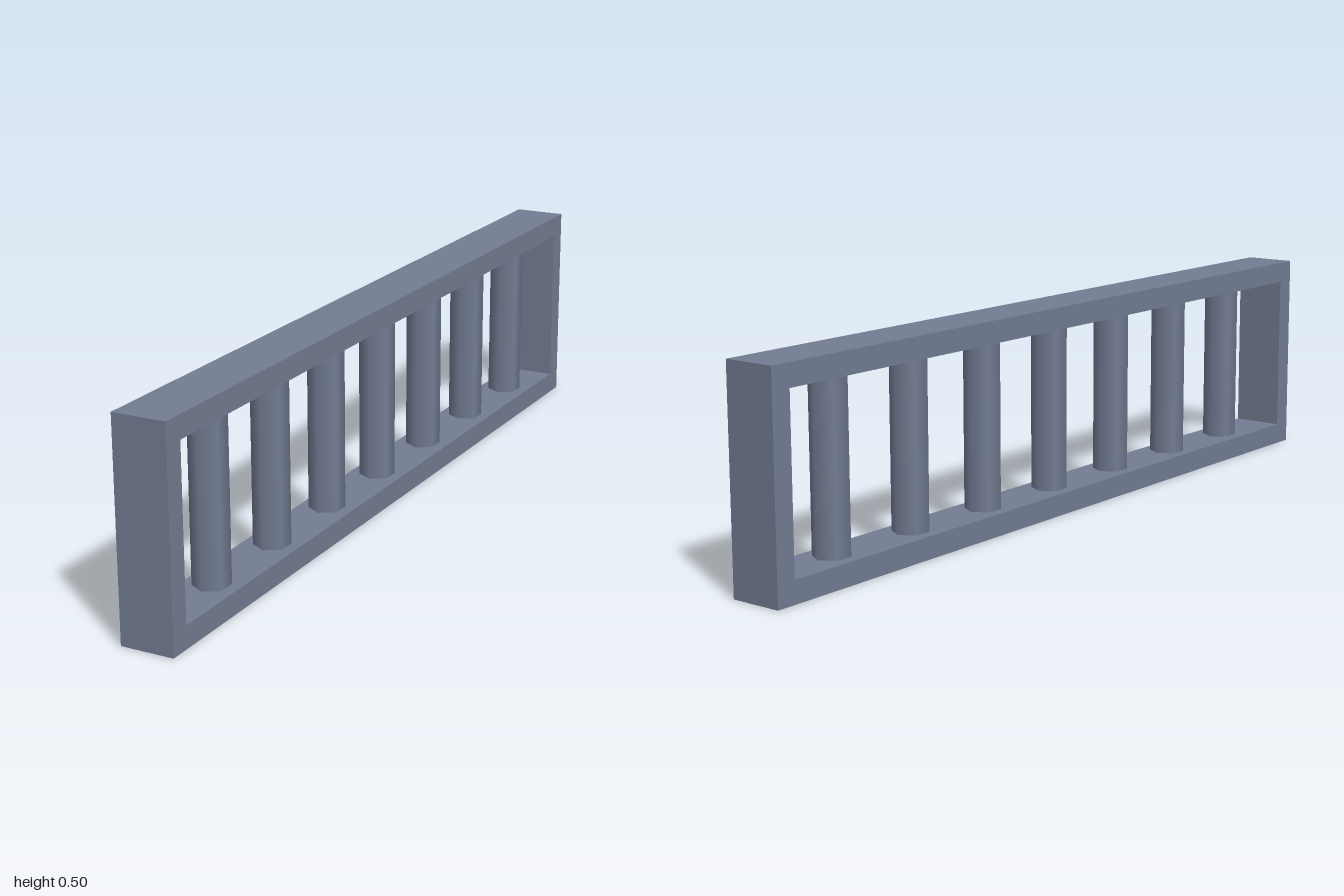
import * as THREE from 'three';

export function createModel() {
  const model = new THREE.Group();
  model.name = 'railing';
  const material = new THREE.MeshStandardMaterial({ color: 0x737d94 });
  const height = 0.505, depth = 0.128, post = 0.05, rail = 0.053;

  // Rectangular frame with one long opening, extruded across x
  const outline = new THREE.Shape([
    new THREE.Vector2(-1, 0), new THREE.Vector2(1, 0),
    new THREE.Vector2(1, height), new THREE.Vector2(-1, height),
  ]);
  const inner = 1 - post, top = height - rail;
  outline.holes.push(new THREE.Path([
    new THREE.Vector2(-inner, rail), new THREE.Vector2(-inner, top),
    new THREE.Vector2(inner, top), new THREE.Vector2(inner, rail),
  ]));
  const frameGeometry = new THREE.ExtrudeGeometry(outline, { depth, bevelEnabled: false });
  frameGeometry.translate(0, 0, -depth / 2).rotateY(Math.PI / 2);
  const frame = new THREE.Mesh(frameGeometry, material);
  frame.name = 'frame';
  model.add(frame);

  // Seven upright six-sided bars with smooth normals, evenly spaced along z
  const barGeometry = new THREE.CylinderGeometry(0.043, 0.043, top - rail, 6);
  for (let i = 0; i < 7; i++) {
    const bar = new THREE.Mesh(barGeometry, material);
    bar.name = `bar${i + 1}`;
    bar.position.set(0, height / 2, 0.75 - i * 0.254);
    model.add(bar);
  }
  return model;
}
